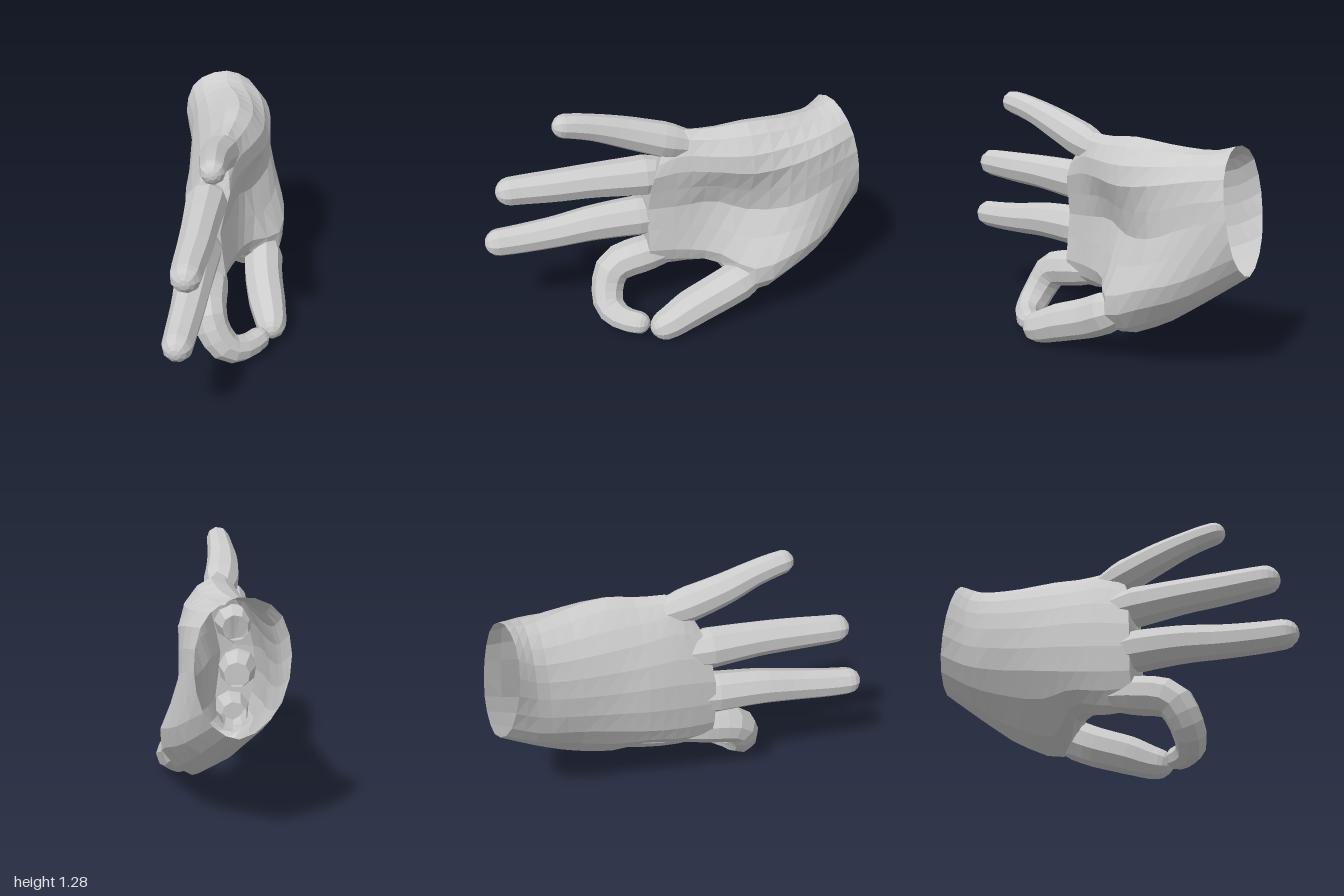
import * as THREE from 'three';

const skin = new THREE.MeshStandardMaterial({ color: 0xcccccc, flatShading: true, side: THREE.DoubleSide });

// Palm cross-sections from wrist to knuckles, as x,y pairs running
// little-finger edge, back of hand, index edge, palm face.
const sections = [
  { z: -0.94, p: [-0.07, 1.15, -0.245, 1.09, -0.31, 0.89, -0.24, 0.64, -0.07, 0.53, 0.07, 0.62, 0.13, 0.84, 0.08, 1.06] },
  { z: -0.78, p: [-0.06, 1.12, -0.22, 1.03, -0.27, 0.82, -0.22, 0.55, 0.03, 0.36, 0.21, 0.47, 0.185, 0.78, 0.15, 1.04] },
  { z: -0.6, p: [0.0, 1.13, -0.19, 1.01, -0.26, 0.78, -0.2, 0.5, 0.09, 0.235, 0.28, 0.41, 0.19, 0.7, 0.18, 1.01] },
  { z: -0.37, p: [0.03, 1.15, -0.16, 1.01, -0.25, 0.75, -0.21, 0.45, 0.13, 0.155, 0.275, 0.32, 0.1, 0.66, 0.18, 0.98] },
  { z: -0.2, p: [0.01, 1.13, -0.14, 1.01, -0.25, 0.74, -0.22, 0.42, -0.07, 0.3, 0.09, 0.36, 0.03, 0.7, 0.13, 0.98] },
  { z: -0.02, p: [-0.02, 1.12, -0.12, 1.02, -0.235, 0.72, -0.215, 0.39, -0.1, 0.26, 0.01, 0.36, 0.0, 0.68, 0.05, 0.97] },
  { z: 0.14, p: [-0.05, 1.03, -0.13, 0.94, -0.22, 0.69, -0.2, 0.38, -0.11, 0.27, -0.02, 0.36, -0.04, 0.66, 0.01, 0.92] },
];

function buildPalm(around = 20, along = 14) {
  // The wrist opening is slanted and the knuckle end falls back at the little finger
  const shift = (k, x, y) => {
    if (k === 0) return -0.18 * (x + 0.09) + 0.17 * (y - 0.84);
    return k === sections.length - 1 ? -0.5 * Math.max(0, y - 0.85) : 0;
  };
  const rings = sections.map(({ z, p }, k) => {
    const pts = [];
    for (let i = 0; i < p.length; i += 2) pts.push(new THREE.Vector3(p[i], p[i + 1], z + shift(k, p[i], p[i + 1])));
    const loop = new THREE.CatmullRomCurve3(pts, true);
    return Array.from({ length: around }, (_, j) => loop.getPoint(j / around));
  });
  const pos = [], index = [];
  const lines = rings[0].map((_, j) => new THREE.CatmullRomCurve3(rings.map((r) => r[j])));
  for (let i = 0; i <= along; i++) lines.forEach((l) => pos.push(...l.getPoint(i / along).toArray()));
  for (let i = 0; i < along; i++) {
    for (let j = 0; j < around; j++) {
      const n = (j + 1) % around, a = i * around, b = a + around;
      index.push(a + j, a + n, b + j, a + n, b + n, b + j);
    }
  }
  // Knuckle end cap
  const last = along * around, centre = pos.length / 3;
  pos.push(-0.11, 0.7, 0.145);
  for (let j = 0; j < around; j++) index.push(last + j, last + ((j + 1) % around), centre);
  const g = new THREE.BufferGeometry();
  g.setAttribute('position', new THREE.Float32BufferAttribute(pos, 3));
  g.setIndex(index);
  g.computeVertexNormals();
  return g;
}

// Tapered tube with a rounded tip; each joint is [x, y, z, radius]
function buildFinger(joints, rings = 18, tipRings = 4, sides = 9) {
  const curve = new THREE.CatmullRomCurve3(joints.map(([x, y, z]) => new THREE.Vector3(x, y, z)));
  const tip = joints.at(-1)[3] / curve.getLength();
  const body = rings - tipRings;
  // Angle round the tip dome, zero along the body
  const dome = (u) => Math.max(0, (u * rings - body) / tipRings) * Math.PI / 2;
  // Even rings along the body, then rings crowded into the dome
  const toT = curve.getUtoTmapping.bind(curve);
  curve.getUtoTmapping = (u) => toT(
    u * rings <= body ? (u * rings / body) * (1 - tip) : 1 - tip * (1 - Math.sin(dome(u))));

  const g = new THREE.TubeGeometry(curve, rings, 1, sides);
  const pos = g.attributes.position, v = new THREE.Vector3();
  for (let i = 0; i <= rings; i++) {
    const u = i / rings, c = curve.getPointAt(u);
    const s = curve.getUtoTmapping(u) * (joints.length - 1);
    const k = Math.min(Math.floor(s), joints.length - 2);
    const r = THREE.MathUtils.lerp(joints[k][3], joints[k + 1][3], s - k) * Math.cos(dome(u));
    for (let j = 0; j <= sides; j++) {
      const n = i * (sides + 1) + j;
      v.fromBufferAttribute(pos, n).sub(c).multiplyScalar(r).add(c);
      pos.setXYZ(n, v.x, v.y, v.z);
    }
  }
  g.computeVertexNormals();
  return g;
}

const fingers = {
  thumb: [[0.155, 0.3, -0.43, 0.07], [0.172, 0.26, -0.32, 0.11], [0.178, 0.205, -0.2, 0.108],
    [0.205, 0.143, -0.02, 0.103], [0.23, 0.095, 0.1, 0.088], [0.242, 0.068, 0.205, 0.068]],
  indexFinger: [[-0.105, 0.36, -0.06, 0.07], [-0.1, 0.34, 0.14, 0.103], [-0.095, 0.29, 0.32, 0.1],
    [-0.06, 0.2, 0.37, 0.09], [0.01, 0.11, 0.38, 0.085], [0.1, 0.08, 0.335, 0.069], [0.205, 0.083, 0.205, 0.058]],
  middleFinger: [[-0.12, 0.57, -0.03, 0.07], [-0.135, 0.57, 0.15, 0.112], [-0.15, 0.558, 0.42, 0.098],
    [-0.16, 0.532, 0.62, 0.087], [-0.18, 0.508, 0.86, 0.078], [-0.19, 0.503, 1.0, 0.072]],
  ringFinger: [[-0.11, 0.83, -0.05, 0.07], [-0.11, 0.835, 0.14, 0.11], [-0.12, 0.842, 0.42, 0.093],
    [-0.13, 0.838, 0.62, 0.087], [-0.145, 0.835, 0.8, 0.078], [-0.15, 0.833, 0.92, 0.072]],
  littleFinger: [[-0.02, 1.02, -0.14, 0.06], [-0.04, 1.07, 0.04, 0.095], [-0.055, 1.135, 0.24, 0.084],
    [-0.05, 1.19, 0.4, 0.07], [-0.045, 1.222, 0.53, 0.064], [-0.04, 1.235, 0.62, 0.058]],
};

export function createModel() {
  const hand = new THREE.Group();
  hand.name = 'hand';
  const add = (name, geometry) => {
    const mesh = new THREE.Mesh(geometry, skin);
    mesh.name = name;
    hand.add(mesh);
  };
  add('palm', buildPalm());
  for (const [name, joints] of Object.entries(fingers)) add(name, buildFinger(joints));
  return hand;
}
